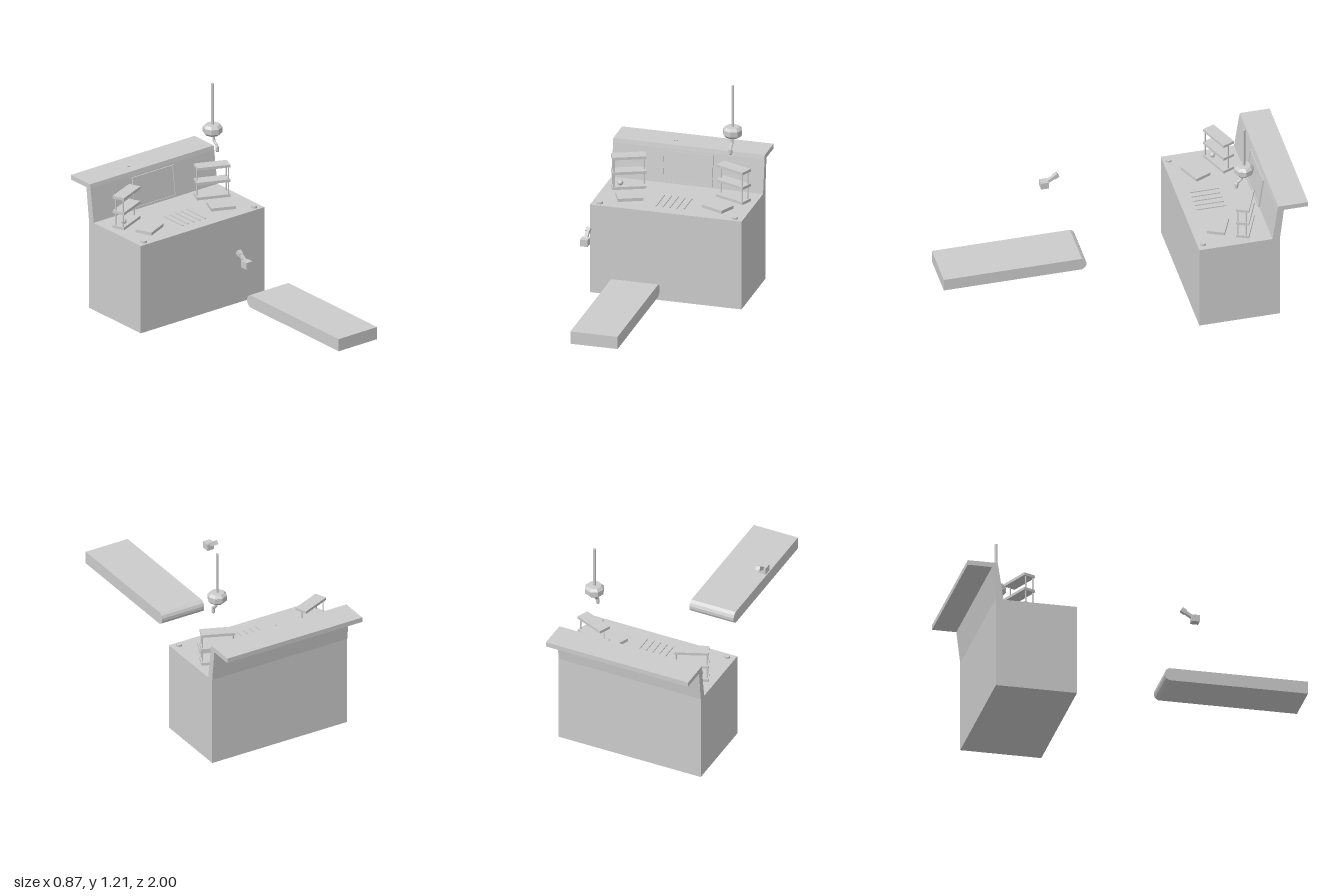
import * as THREE from 'three';

const mat = new THREE.MeshStandardMaterial({ color: 0xcccccc, flatShading: true });
const smooth = new THREE.MeshStandardMaterial({ color: 0xcccccc });

function add(parent, name, geometry, x, y, z, material = mat) {
  const mesh = new THREE.Mesh(geometry, material);
  mesh.name = name;
  mesh.position.set(x, y, z);
  parent.add(mesh);
  return mesh;
}

function group(parent, name, x = 0, y = 0, z = 0) {
  const g = new THREE.Group();
  g.name = name;
  g.position.set(x, y, z);
  parent.add(g);
  return g;
}

const box = (w, h, d) => new THREE.BoxGeometry(w, h, d);

// Side outline given as [z, y], extruded along x and centred on it
function sideExtrude(points, width) {
  const shape = new THREE.Shape(points.map(([z, y]) => new THREE.Vector2(-z, y)));
  const geo = new THREE.ExtrudeGeometry(shape, { depth: width, bevelEnabled: false });
  return geo.translate(0, 0, -width / 2).rotateY(Math.PI / 2);
}

export function createModel() {
  const model = new THREE.Group();
  model.name = 'workstation';
  const top = 0.525;

  // Counter with leaning back panel and overhanging ledge
  add(model, 'counter', sideExtrude([
    [-0.38, 0], [-0.38, top], [-0.797, top], [-0.825, 0.72], [-0.83, 0.745], [-1, 0.745],
    [-1, 0.717], [-0.862, 0.717], [-0.84, 0.53], [-0.84, 0],
  ], 0.874), 0, 0, 0);

  // Shallow dish on the ledge
  add(model, 'ledgeDish', new THREE.CylinderGeometry(0.034, 0.02, 0.007, 20), -0.1, 0.748, -0.91);

  // Screen lying on the leaning panel
  const screen = group(model, 'screen', -0.002, 0.62, -0.809);
  screen.rotation.x = -0.14;
  const frame = new THREE.Shape();
  frame.moveTo(-0.146, -0.092).lineTo(0.146, -0.092).lineTo(0.146, 0.092).lineTo(-0.146, 0.092).closePath();
  const hole = new THREE.Path();
  hole.moveTo(-0.138, -0.08).lineTo(-0.138, 0.086).lineTo(0.138, 0.086).lineTo(0.138, -0.08).closePath();
  frame.holes.push(hole);
  add(screen, 'screenFrame', new THREE.ExtrudeGeometry(frame, { depth: 0.01, bevelEnabled: false }), 0, 0, -0.003);
  add(screen, 'screenPanel', box(0.276, 0.166, 0.004), 0, 0.003, 0);

  // Slats in the middle of the worktop
  for (let i = -2; i <= 2; i++) {
    add(model, 'slat', box(0.007, 0.006, 0.165), i * 0.04, top + 0.003, -0.537);
  }

  // Angled rack, tray and corner button on each side
  for (const side of [1, -1]) {
    const rack = group(model, side > 0 ? 'leftRack' : 'rightRack', side * 0.302, 0, -0.675);
    rack.rotation.y = -side * 0.4;
    for (const y of [0.536, 0.625, 0.713]) add(rack, 'rackShelf', box(0.19, 0.016, 0.072), 0, y, 0);
    for (const [x, z] of [[0.087, 0.027], [0.087, -0.02], [-0.087, 0]]) {
      add(rack, 'rackPost', new THREE.CylinderGeometry(0.004, 0.004, 0.18, 8), side * x, 0.625, z);
    }

    const tray = add(model, 'tray', box(0.143, 0.018, 0.1), side * 0.254, top + 0.009, -0.532);
    tray.rotation.y = -side * 0.42;
    add(model, 'cornerButton', new THREE.CylinderGeometry(0.017, 0.017, 0.012, 16),
      side * 0.39, top + 0.006, -0.412);
  }

  // Small ball resting on the right rack
  add(model, 'ball', new THREE.SphereGeometry(0.016, 16, 12), -0.342, 0.56, -0.65, smooth);

  // Hanging arm: rod, faceted housing and hooked nozzle
  const arm = group(model, 'hangingArm', 0.3, 0, -0.668);
  add(arm, 'rod', new THREE.CylinderGeometry(0.008, 0.008, 0.25, 8), 0, 1.085, 0);
  const housing = [[0, 0.903], [0.04, 0.904], [0.055, 0.919], [0.055, 0.949], [0.04, 0.964], [0, 0.965]];
  add(arm, 'housing', new THREE.LatheGeometry(housing.map(([r, y]) => new THREE.Vector2(r, y)), 8), 0, 0, 0);
  const bend = new THREE.CatmullRomCurve3([
    [0.91, 0.012], [0.875, 0.012], [0.859, 0.024], [0.853, 0.035], [0.838, 0.042], [0.82, 0.042],
  ].map(([y, z]) => new THREE.Vector3(0, y, z)));
  add(arm, 'nozzlePipe', new THREE.TubeGeometry(bend, 20, 0.008, 8, false), 0, 0, 0);
  add(arm, 'nozzleTip', new THREE.CapsuleGeometry(0.0105, 0.02, 3, 8), 0, 0.831, 0.042);

  // Floating bed with a chamfered head end
  add(model, 'bed', sideExtrude([
    [1, 0.277], [1, 0.35], [0.213, 0.35], [0.195, 0.338], [0.188, 0.322],
    [0.188, 0.305], [0.195, 0.289], [0.213, 0.277],
  ], 0.272), -0.002, 0, 0);

  // Small floating cube with a raised handle
  const device = group(model, 'handheldDevice', -0.254, 0.606, 0.331);
  add(device, 'deviceHead', box(0.044, 0.04, 0.046), 0, 0, 0);
  const handle = group(device, 'handle', 0, 0.012, -0.015);
  handle.rotation.x = 0.58;
  add(handle, 'handleStem', box(0.02, 0.018, 0.05), 0, 0, -0.025);
  add(handle, 'handleGrip', box(0.025, 0.025, 0.028), 0, 0, -0.06);

  return model;
}
